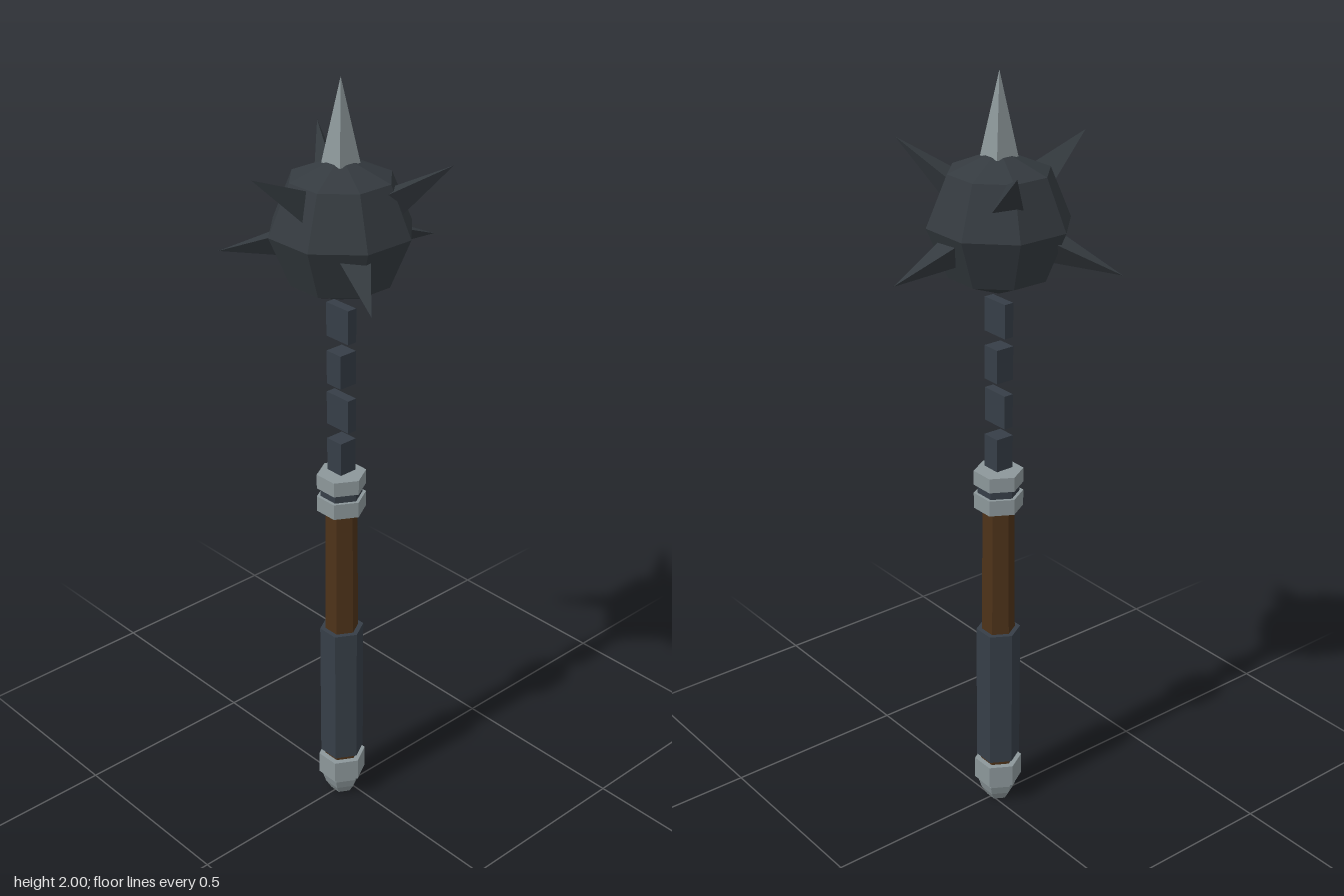
import * as THREE from 'three';

const mat = (name, color) => Object.assign(new THREE.MeshStandardMaterial({ color, flatShading: true }), { name });

export function createModel() {
  const steel = mat('pale steel', 0x8c979a);
  const iron = mat('dark iron', 0x343a3f);
  const dark = mat('dark grip', 0x363e47);
  const wood = mat('brown wood', 0x4d3219);

  const model = new THREE.Group();
  model.name = 'flail';
  model.position.x = -0.022;

  const add = (name, geometry, material, y = 0, parent = model) => {
    const mesh = new THREE.Mesh(geometry, material);
    mesh.name = name;
    mesh.position.y = y;
    parent.add(mesh);
    return mesh;
  };
  // Six-sided section between two heights
  const hex = (name, material, y0, y1, r0, r1 = r0) =>
    add(name, new THREE.CylinderGeometry(r1, r0, y1 - y0, 6), material, (y0 + y1) / 2);

  // Handle, from the bottom up
  hex('pommelTip', steel, 0, 0.025, 0.03, 0.045);
  hex('pommelDome', steel, 0.025, 0.05, 0.045, 0.053);
  hex('pommelNeck', steel, 0.05, 0.062, 0.053);
  hex('pommelCollar', steel, 0.062, 0.123, 0.0635);
  hex('woodShaft', wood, 0.12, 0.9, 0.047, 0.041);
  hex('grip', dark, 0.137, 0.532, 0.058);
  hex('lowerCollarRing', steel, 0.89, 0.932, 0.0635);
  hex('collarNeck', dark, 0.93, 0.957, 0.054);
  hex('upperCollarRing', steel, 0.955, 0.994, 0.0635);

  // Chain of alternating links
  for (let i = 0; i < 4; i++) {
    const size = i % 2 ? [0.026, 0.088, 0.078] : [0.05, 0.088, 0.05];
    add('chainLink', new THREE.BoxGeometry(...size), dark, 1.046 + i * 0.119);
  }

  // Faceted ball with flat sides facing the axes
  const head = new THREE.Group();
  head.name = 'spikedHead';
  head.position.y = 1.64;
  model.add(head);
  add('ball', new THREE.SphereGeometry(0.178, 8, 4).rotateY(Math.PI / 8), iron, 0, head);

  // Four-sided top spike
  add('topSpike', new THREE.ConeGeometry(0.045, 0.2, 4).rotateY(Math.PI / 4), steel, 0.26, head);

  // Three-sided side spikes: azimuth, tip radius, tip height, roll (degrees)
  const spikes = [
    [0, 0.309, -0.092, 5], [120, 0.309, -0.092, 0], [240, 0.309, -0.092, 0],
    [60, 0.265, 0.18, 0], [180, 0.265, 0.18, 40], [300, 0.265, 0.18, 180],
  ];
  const base = 0.15;
  for (const [azimuth, radius, height, roll] of spikes) {
    const length = Math.hypot(radius, height) - base;
    const geometry = new THREE.ConeGeometry(0.042, length, 3)
      .translate(0, base + length / 2, 0)
      .rotateY(THREE.MathUtils.degToRad(90 + roll))
      .rotateZ(Math.atan2(height, radius) - Math.PI / 2)
      .rotateY(-THREE.MathUtils.degToRad(azimuth));
    add('sideSpike', geometry, iron, 0, head);
  }

  const root = new THREE.Group();
  root.add(model);
  return root;
}
